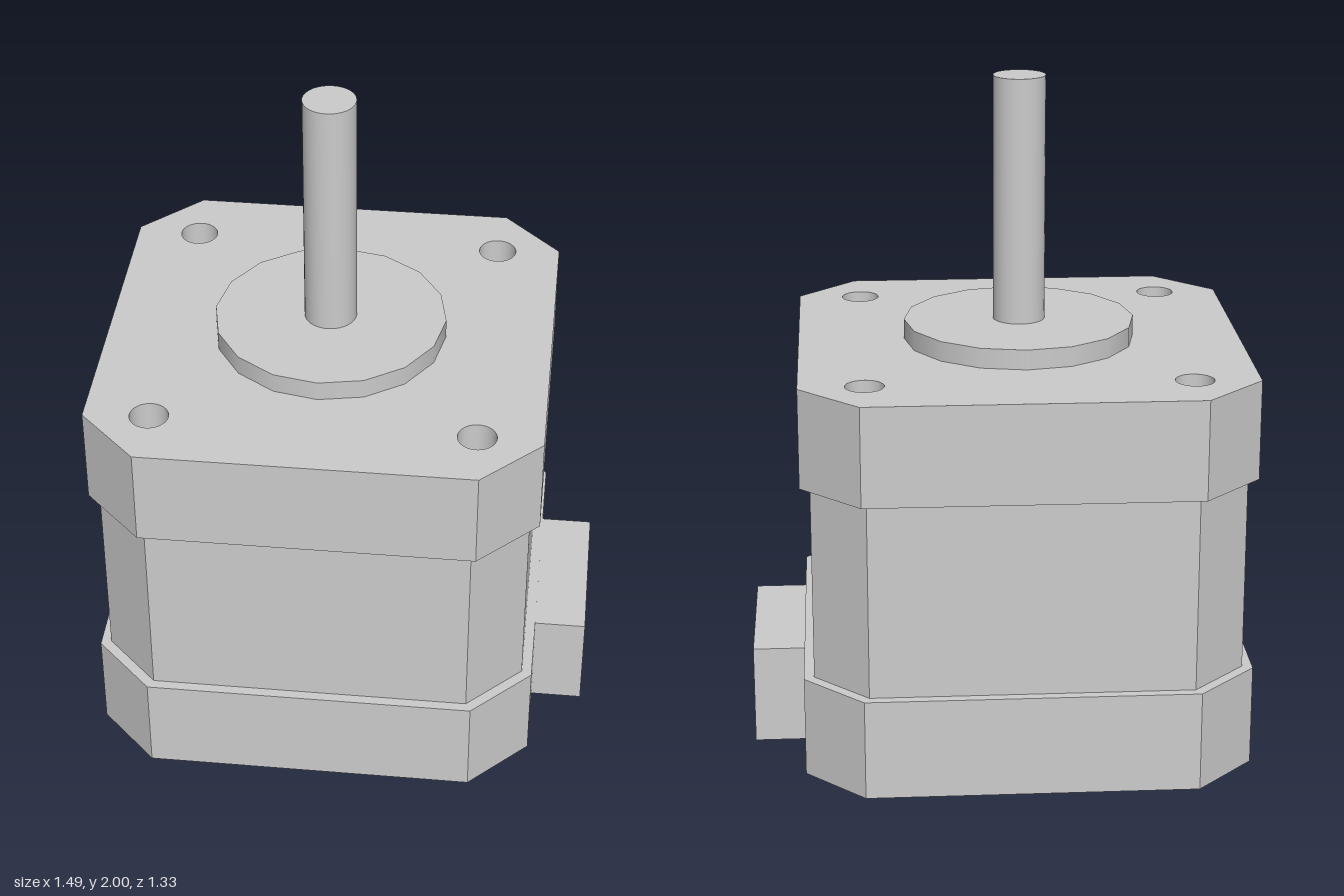
import * as THREE from 'three';

const CX = -0.08; // motor axis
const HOLE = 0.473, HOLE_R = 0.057;

export function createModel() {
  const group = new THREE.Group();
  const grey = new THREE.MeshStandardMaterial({ color: 0xcccccc });
  const greyDouble = new THREE.MeshStandardMaterial({ color: 0xcccccc, side: THREE.DoubleSide });

  const add = (name, geometry, x, y, z, material = grey) => {
    const mesh = new THREE.Mesh(geometry, material);
    mesh.name = name;
    mesh.position.set(x, y, z);
    group.add(mesh);
    return mesh;
  };

  // square with chamfered corners: h = half width, f = half of the flat side
  const octagon = (h, f) => new THREE.Shape(
    [[h, -f], [h, f], [f, h], [-f, h], [-h, f], [-h, -f], [-f, -h], [f, -h]]
      .map(([x, y]) => new THREE.Vector2(x, y)));
  const slab = (shape, depth) => new THREE.ExtrudeGeometry(shape, { depth, bevelEnabled: false, curveSegments: 24 })
    .rotateX(-Math.PI / 2);

  // housing: bottom cap, laminated middle, top cap with screw holes
  add('bottomCap', slab(octagon(0.665, 0.49), 0.305), CX, 0, 0);
  add('middleBody', slab(octagon(0.635, 0.475), 0.595), CX, 0.305, 0);
  const topShape = octagon(0.665, 0.49);
  const corners = [[1, 1], [1, -1], [-1, -1], [-1, 1]];
  for (const [sx, sz] of corners) {
    const hole = new THREE.Path();
    hole.absarc(sx * HOLE, sz * HOLE, HOLE_R, 0, Math.PI * 2, true);
    topShape.holes.push(hole);
  }
  add('topCap', slab(topShape, 0.3), CX, 0.9, 0);

  // conical bottoms of the screw holes
  const holeProfile = [[0, 0], [0.018, 0], [0.023, 0.02], [HOLE_R, 0.05]]
    .map(([r, y]) => new THREE.Vector2(r, y));
  const holeBottom = new THREE.LatheGeometry(holeProfile, 24);
  for (const [sx, sz] of corners) {
    add('screwHoleBottom', holeBottom, CX + sx * HOLE, 1.0, sz * HOLE, greyDouble);
  }

  // raised pilot ring and shaft
  add('pilotBoss', new THREE.CylinderGeometry(0.347, 0.347, 0.06, 16), CX, 1.23, 0);
  add('shaft', new THREE.CylinderGeometry(0.078, 0.078, 0.76, 40), CX, 1.62, 0);

  // open connector shell on the left side
  const rect = (T, w, y0, y1) => new T(
    [[-w, y0], [w, y0], [w, y1], [-w, y1]].map(([x, y]) => new THREE.Vector2(x, y)));
  const shell = rect(THREE.Shape, 0.253, 0, 0.302);
  shell.holes.push(rect(THREE.Path, 0.225, 0.03, 0.275));
  const shellGeometry = new THREE.ExtrudeGeometry(shell, { depth: 0.165, bevelEnabled: false })
    .rotateY(Math.PI / 2);
  add('connectorShell', shellGeometry, 0.575, 0, 0);

  // four connector pins
  for (let i = 0; i < 4; i++) {
    add('connectorPin', new THREE.BoxGeometry(0.14, 0.03, 0.03), 0.65, 0.153, (i - 1.5) * 0.07);
  }
  return group;
}
